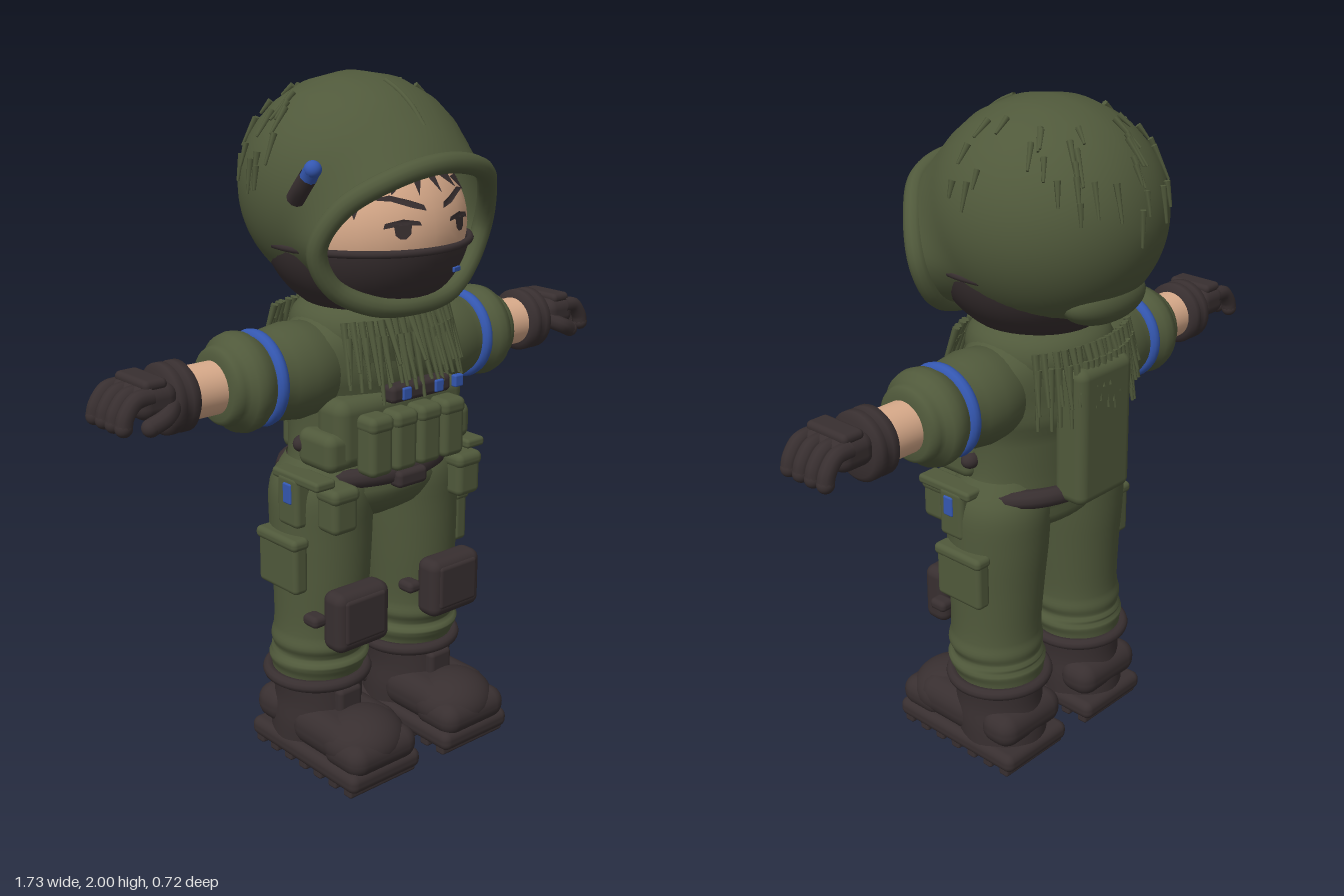
import * as THREE from 'three';
import { RoundedBoxGeometry } from 'three/addons/geometries/RoundedBoxGeometry.js';

const mat = (name, color) => Object.assign(new THREE.MeshStandardMaterial({ color }), { name });
const green = mat('olive cloth', 0x50593b);
green.side = THREE.DoubleSide;
const dark = mat('dark leather', 0x382f30);
dark.side = THREE.DoubleSide;
const skin = mat('skin', 0xd8aa8a);
const blue = mat('blue trim', 0x3457b0);
const V = (x, y, z) => new THREE.Vector3(x, y, z);

export function createModel() {
  const root = new THREE.Group();
  root.name = 'soldier';
  let seed = 7;
  const rnd = () => (seed = (seed * 16807) % 2147483647) / 2147483647;

  const add = (name, geo, m, x = 0, y = 0, z = 0) => {
    const mesh = new THREE.Mesh(geo, m);
    mesh.name = name;
    mesh.position.set(x, y, z);
    root.add(mesh);
    return mesh;
  };
  const box = (name, m, w, h, d, x, y, z, r = 0.015) =>
    add(name, new RoundedBoxGeometry(w, h, d, 3, Math.min(r, w / 2.1, h / 2.1, d / 2.1)), m, x, y, z);
  const ball = (name, m, rx, ry, rz, x, y, z) =>
    add(name, new THREE.SphereGeometry(1, 32, 24).scale(rx, ry, rz), m, x, y, z);
  const tube = (name, m, pts, r, closed = false, seg = 16, sides = 10) =>
    add(name, new THREE.TubeGeometry(new THREE.CatmullRomCurve3(pts, closed), seg, r, sides, closed), m);
  // grid of rows of points made into one smooth skin
  const skinRows = (rows) => {
    const n = rows[0].length, pos = rows.flat().flatMap((p) => [p.x, p.y, p.z]), idx = [];
    for (let j = 0; j < rows.length - 1; j++) for (let i = 0; i < n; i++) {
      const a = j * n + i, b = j * n + (i + 1) % n;
      idx.push(a, a + n, b, b, a + n, b + n);
    }
    const g = new THREE.BufferGeometry();
    g.setAttribute('position', new THREE.Float32BufferAttribute(pos, 3));
    g.setIndex(idx);
    g.computeVertexNormals();
    return g;
  };
  // elliptical rings [y, rx, rz, x, z], smoothed along the height
  const loft = (rings) => {
    const a = new THREE.CatmullRomCurve3(rings.map((r) => V(r[0], r[1], r[2])));
    const b = new THREE.CatmullRomCurve3(rings.map((r) => V(r[3], r[4], 0)));
    const steps = (rings.length - 1) * 4;
    return skinRows(Array.from({ length: steps + 1 }, (_, j) => {
      const p = a.getPoint(j / steps), c = b.getPoint(j / steps);
      return Array.from({ length: 40 }, (_, i) => {
        const t = (i / 40) * Math.PI * 2;
        return V(c.x + p.y * Math.cos(t), p.x, c.y + p.z * Math.sin(t));
      });
    }));
  };
  // profile [x, r] turned about the arm axis
  const armLathe = (pts, s) =>
    new THREE.LatheGeometry(pts.map(([x, r]) => new THREE.Vector2(r, x)), 36).rotateZ(-s * Math.PI / 2);
  // tapered strip of cloth from one point to another
  const strand = (name, from, to, r) => {
    const d = to.clone().sub(from);
    const m = add(name, new THREE.CylinderGeometry(r * 0.45, r, d.length(), 6), green);
    m.position.copy(from).add(to).multiplyScalar(0.5);
    m.quaternion.setFromUnitVectors(V(0, 1, 0), d.normalize());
  };

  // helmet shell: swept from the back pole to the rim of the face opening
  const half = [V(0.16, 1.755, 0.305), V(0.265, 1.675, 0.225), V(0.3, 1.57, 0.175), V(0.25, 1.47, 0.175), V(0.14, 1.41, 0.21)];
  const rimPts = [V(0, 1.785, 0.33), ...half, V(0, 1.395, 0.225),
    ...half.slice().reverse().map((p) => V(-p.x, p.y, p.z))];
  const rim = new THREE.CatmullRomCurve3(rimPts, true);
  const C = V(0, 1.69, -0.02), R = V(0.322, 0.31, 0.333);
  const rimLoop = rim.getPoints(64).slice(0, 64);
  const shellRows = [];
  for (let j = 0; j <= 28; j++) {
    const t = j / 28;
    shellRows.push(rimLoop.map((p) => {
      const d = p.clone().sub(C), len = d.length();
      d.normalize();
      const max = Math.acos(-d.z), side = V(d.x, d.y, 0).normalize(), a = max * t;
      const dir = side.multiplyScalar(Math.sin(a)).add(V(0, 0, -Math.cos(a)));
      const k = Math.max(0, (t - 0.8) / 0.2) ** 2;
      return dir.clone().multiply(R).multiplyScalar(1 - k).addScaledVector(dir, len * k).add(C);
    }));
  }
  add('helmetShell', skinRows(shellRows), green);
  tube('helmetRim', green, rimPts, 0.028, true, 96, 12);
  ball('helmetNeckPad', green, 0.15, 0.07, 0.08, 0, 1.49, -0.22);
  tube('helmetRidge', green, [0.1, 0.15, 0.2, 0.25].map((z) =>
    V(0, C.y + R.y * Math.sqrt(1 - ((z - C.z) / R.z) ** 2), z)), 0.007);
  // helmet side lamp
  tube('lampBody', dark, [V(-0.315, 1.7, 0.11), V(-0.325, 1.735, 0.15), V(-0.328, 1.765, 0.18)], 0.025);
  tube('lampTip', blue, [V(-0.328, 1.76, 0.178), V(-0.329, 1.775, 0.19), V(-0.33, 1.785, 0.2)], 0.023);
  ball('lampCap', blue, 0.023, 0.023, 0.023, -0.33, 1.785, 0.2);
  // loose cloth strips on the helmet, mostly on the back
  const onHelmet = (az, el, k) => V(Math.sin(az) * Math.cos(el), Math.sin(el), Math.cos(az) * Math.cos(el))
    .multiply(R).multiplyScalar(k).add(C);
  for (let i = 0; i < 42; i++) {
    const az = Math.PI + (rnd() - 0.5) * 3.6, el = 0.2 + rnd() * 0.85, len = 0.13 + rnd() * 0.2;
    strand('helmetStrip', onHelmet(az, el, 1.025), onHelmet(az, el - len, 1.015), 0.009);
  }

  // head and face
  const H = V(0, 1.6, 0.02);
  ball('head', skin, 0.28, 0.25, 0.28, H.x, H.y, H.z);
  const t0 = Math.acos(-0.04 / 0.27);
  add('faceMask', new THREE.SphereGeometry(1, 40, 20, 0, Math.PI * 2, t0, 2.5 - t0).scale(0.288, 0.27, 0.296), dark, H.x, H.y, H.z);
  add('maskHem', new THREE.TorusGeometry(1, 0.035, 8, 48).rotateX(Math.PI / 2).scale(0.285, 0.3, 0.293), dark, 0, 1.557, H.z);
  const onFace = (x, y) => H.z + 0.28 * Math.sqrt(Math.max(0, 1 - (x / 0.28) ** 2 - ((y - H.y) / 0.25) ** 2));
  const plate = (name, pts) => {
    const g = new THREE.ShapeGeometry(new THREE.Shape(pts.map(([x, y]) => new THREE.Vector2(x, y))));
    const p = g.attributes.position;
    for (let i = 0; i < p.count; i++) p.setZ(i, onFace(p.getX(i), p.getY(i)) + 0.007);
    g.computeVertexNormals();
    add(name, g, dark);
  };
  for (const s of [1, -1]) {
    const f = (pts) => pts.map(([x, y]) => [x * s, y]);
    plate('eyebrow', f([[0.03, 1.662], [0.07, 1.672], [0.12, 1.69], [0.17, 1.695], [0.12, 1.705], [0.07, 1.69], [0.035, 1.677]]));
    plate('eyelash', f([[0.05, 1.626], [0.1, 1.63], [0.15, 1.622], [0.145, 1.636], [0.1, 1.645], [0.055, 1.637]]));
    plate('iris', f([[0.078, 1.632], [0.082, 1.605], [0.095, 1.594], [0.11, 1.594], [0.122, 1.605], [0.125, 1.632]]));
    for (const [x, w, y, lean] of [[0.02, 0.04, 1.7, 0.02], [0.075, 0.05, 1.705, 0.04], [0.13, 0.05, 1.69, 0.04], [0.185, 0.04, 1.645, 0.02]])
      plate('fringeHair', f([[x - w / 2, 1.765 - x * 0.25], [x + lean, y], [x + w / 2, 1.765 - x * 0.25]]));
  }
  box('maskTag', blue, 0.035, 0.014, 0.008, 0.095, 1.49, 0.284, 0.003).rotation.y = 0.3;

  // torso and scarf
  add('torso', loft([[0.755, 0.1, 0.07, 0, 0.02], [0.81, 0.24, 0.145, 0, 0.02], [0.89, 0.27, 0.16, 0, 0.02],
    [0.97, 0.25, 0.16, 0, 0.015], [1.1, 0.25, 0.165, 0, 0.01], [1.2, 0.28, 0.17, 0, 0.01], [1.28, 0.28, 0.165, 0, 0.01],
    [1.34, 0.22, 0.15, 0, 0.01], [1.4, 0.13, 0.11, 0, 0.01]]), green);
  add('scarf', loft([[1.24, 0.2, 0.19, 0, 0.01], [1.31, 0.215, 0.205, 0, 0.01], [1.36, 0.2, 0.19, 0, 0.01], [1.4, 0.15, 0.14, 0, 0.01]]), green);
  for (const face of [1, -1]) for (let row = 0; row < 2; row++) for (let i = 0; i < 17; i++) {
    const x = -0.2 + i * 0.025 + (rnd() - 0.5) * 0.012, b = Math.sqrt(1 - (x / 0.3) ** 2);
    const top = 1.36 - row * 0.04, len = 0.11 + rnd() * 0.07;
    strand('scarfStrip', V(x * 0.95, top, face * (0.2 + row * 0.02) * b),
      V(x * 1.05, top - len, face * (face > 0 ? 0.265 : 0.245) * b), 0.011);
  }

  // belt
  add('belt', new THREE.TorusGeometry(1, 0.14, 10, 56).rotateX(Math.PI / 2).scale(0.245, 0.2, 0.18), dark, 0, 0.912, 0.01);
  box('beltBuckle', dark, 0.11, 0.05, 0.05, 0, 0.9, 0.205);

  // chest rig
  box('vestPanel', green, 0.47, 0.2, 0.12, 0, 1.05, 0.13, 0.04);
  for (let i = 0; i < 4; i++) {
    const x = -0.135 + i * 0.09;
    box('magazinePouch', green, 0.082, 0.165, 0.075, x, 1.02, 0.215, 0.02);
    box('pouchFlap', green, 0.086, 0.05, 0.08, x, 1.085, 0.216, 0.02);
  }
  box('radioPanel', dark, 0.22, 0.05, 0.05, 0, 1.165, 0.235);
  for (const x of [-0.06, 0.06, 0.135]) box('radioLight', blue, 0.032, 0.035, 0.02, x, 1.165, 0.256, 0.005);

  // backpack
  box('backpack', green, 0.22, 0.41, 0.11, 0, 1.1, -0.19, 0.03);

  for (const s of [1, -1]) {
    // sleeve, band and forearm
    const arm = (name, m, pts) => add(name, armLathe(pts, s), m, 0, 1.215, 0.012);
    arm('sleeve', green, [[0.12, 0.09], [0.2, 0.13], [0.27, 0.136], [0.33, 0.128], [0.38, 0.112], [0.405, 0.122], [0.42, 0.134], [0.445, 0.138],
      [0.468, 0.132], [0.478, 0.112], [0.495, 0.11], [0.51, 0.105], [0.522, 0.092], [0.522, 0.06]]);
    add('sleeveBand', new THREE.TorusGeometry(0.114, 0.02, 12, 48).rotateY(Math.PI / 2), blue, s * 0.38, 1.215, 0.012);
    arm('forearm', skin, [[0.48, 0.072], [0.63, 0.072]]);
    // glove
    arm('gloveCuff', dark, [[0.61, 0.06], [0.612, 0.08], [0.625, 0.095], [0.645, 0.095], [0.655, 0.085], [0.665, 0.095], [0.685, 0.095], [0.697, 0.08], [0.7, 0.04]]);
    box('palm', dark, 0.12, 0.09, 0.17, s * 0.74, 1.235, 0.02, 0.035);
    box('knucklePlate', dark, 0.07, 0.03, 0.15, s * 0.745, 1.28, 0.02);
    for (let i = 0; i < 4; i++) {
      const z = -0.05 + i * 0.046;
      tube('finger', dark, [V(s * 0.76, 1.255, z), V(s * 0.805, 1.25, z), V(s * 0.835, 1.215, z), V(s * 0.842, 1.19, z)], 0.023);
      ball('fingertip', dark, 0.023, 0.023, 0.023, s * 0.842, 1.188, z);
    }
    tube('thumb', dark, [V(s * 0.69, 1.22, 0.08), V(s * 0.73, 1.2, 0.11), V(s * 0.775, 1.18, 0.105)], 0.024);
    ball('thumbTip', dark, 0.024, 0.024, 0.024, s * 0.775, 1.18, 0.105);

    // trouser leg with folds above the boot
    add('trouserLeg', loft([[0.96, 0.1, 0.11, s * 0.16, 0.02], [0.88, 0.145, 0.15, s * 0.165, 0.02], [0.76, 0.148, 0.15, s * 0.168, 0.02],
      [0.6, 0.14, 0.142, s * 0.172, 0.025], [0.45, 0.135, 0.135, s * 0.178, 0.025], [0.41, 0.142, 0.142, s * 0.18, 0.025],
      [0.38, 0.132, 0.134, s * 0.18, 0.02], [0.35, 0.146, 0.146, s * 0.18, 0.02], [0.32, 0.135, 0.138, s * 0.18, 0.015], [0.28, 0.13, 0.13, s * 0.18, 0.01]].reverse()), green);
    // knee pad
    box('kneePad', dark, 0.195, 0.18, 0.085, s * 0.18, 0.52, 0.19, 0.03);
    box('kneePadFace', dark, 0.15, 0.135, 0.03, s * 0.18, 0.525, 0.222, 0.012);
    for (const x of [0.07, 0.29]) box('kneeStrap', dark, 0.05, 0.035, 0.06, s * x, 0.52, 0.14);
    // thigh pocket and hip pouches
    box('thighPocket', green, 0.05, 0.16, 0.17, s * 0.31, 0.67, 0.025);
    box('thighPocketFlap', green, 0.06, 0.035, 0.18, s * 0.312, 0.74, 0.025);
    box('hipPouch', green, 0.09, 0.13, 0.085, s * 0.235, 0.85, 0.175, 0.02);
    box('hipPouchFlap', green, 0.098, 0.045, 0.092, s * 0.235, 0.895, 0.177, 0.02);
    box('sidePouch', green, 0.055, 0.15, 0.09, s * 0.295, 0.86, 0.06);
    box('sidePouchFlap', green, 0.07, 0.028, 0.2, s * 0.285, 0.93, 0.09, 0.01);
    box('hipTag', blue, 0.015, 0.06, 0.035, s * 0.32, 0.885, 0.065, 0.005);
    box('waistPouch', green, 0.09, 0.11, 0.15, s * 0.225, 1.005, 0.11, 0.03);
    ball('waistKnob', dark, 0.03, 0.025, 0.025, s * 0.25, 1.01, 0.045);

    // boot
    const bx = s * 0.18;
    add('bootCuff', new THREE.TorusGeometry(0.143, 0.018, 10, 40).rotateX(Math.PI / 2), dark, bx, 0.295, 0.012);
    add('bootShaft', loft([[0.08, 0.128, 0.14, bx, 0], [0.15, 0.128, 0.145, bx, 0.01], [0.22, 0.122, 0.14, bx, 0.015], [0.3, 0.128, 0.14, bx, 0.012]]), dark);
    box('bootVamp', dark, 0.25, 0.13, 0.26, bx, 0.15, 0.14, 0.06);
    ball('bootToe', dark, 0.128, 0.085, 0.12, bx, 0.145, 0.215);
    box('toeCap', dark, 0.25, 0.1, 0.17, bx, 0.13, 0.25, 0.048);
    box('bootHeel', dark, 0.26, 0.11, 0.13, bx, 0.165, -0.075, 0.05);
    box('bootTongue', dark, 0.085, 0.09, 0.04, bx, 0.235, 0.15);
    box('bootSole', dark, 0.265, 0.06, 0.48, bx, 0.073, 0.09, 0.025);
    for (let i = 0; i < 7; i++) box('soleLug', dark, 0.25, 0.03, 0.035, bx, 0.042, -0.115 + i * 0.068, 0.008);
    ball('soleBase', dark, 0.1, 0.045, 0.1, bx, 0.045, 0.015);
  }
  return root;
}
